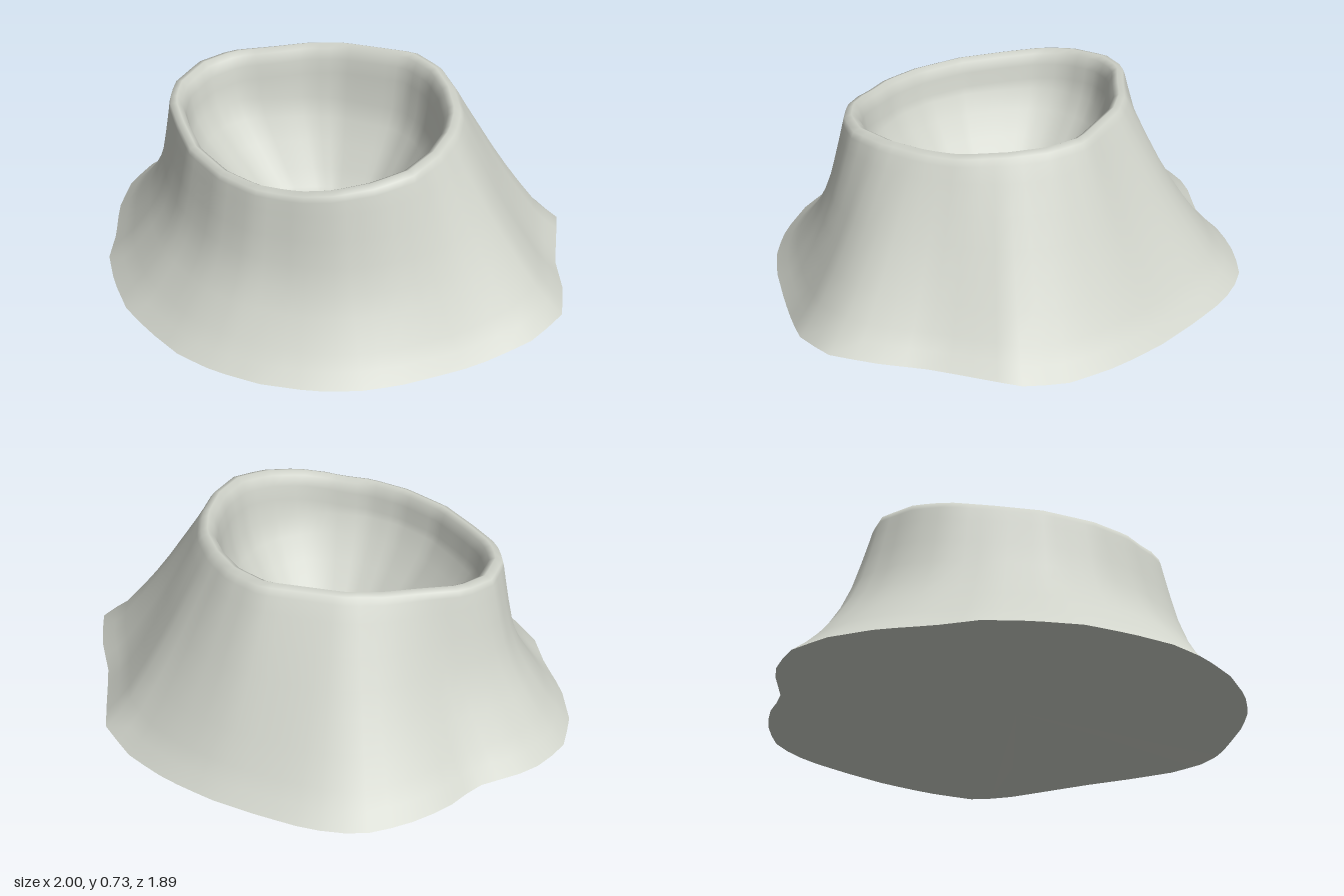
import * as THREE from 'three';

const SEG = 72;
const CENTRE = [-0.07, 0.08];

// Irregular plan outlines as [x, z] pairs, running from +x toward +z
const BASE = [
  [1, 0.28], [0.91, 0.45], [0.65, 0.67], [0.5, 0.79], [0.36, 0.87], [0.2, 0.92], [0, 0.94],
  [-0.19, 0.92], [-0.35, 0.87], [-0.5, 0.78], [-0.65, 0.67], [-0.77, 0.52], [-0.86, 0.37],
  [-0.9, 0.21], [-0.97, 0.02], [-1, -0.18], [-0.97, -0.36], [-0.85, -0.51], [-0.64, -0.63],
  [-0.53, -0.77], [-0.38, -0.88], [-0.22, -0.95], [-0.03, -0.94], [0.17, -0.88], [0.36, -0.81],
  [0.55, -0.71], [0.71, -0.59], [0.84, -0.44], [0.9, -0.1], [0.97, 0.1],
];
const RIM = [
  [0.5, 0.29], [0.44, 0.44], [0.33, 0.54], [0.19, 0.605], [0.07, 0.62], [-0.13, 0.605],
  [-0.29, 0.54], [-0.46, 0.41], [-0.58, 0.25], [-0.67, 0.11], [-0.7, -0.02], [-0.66, -0.19],
  [-0.56, -0.3], [-0.4, -0.36], [-0.26, -0.42], [-0.11, -0.45], [0.21, -0.43], [0.34, -0.34],
  [0.43, -0.21], [0.5, -0.05], [0.52, 0.11],
];

// Distance from CENTRE to a plan outline in the direction of angle a
function reach(outline, a) {
  const dx = Math.cos(a), dz = Math.sin(a);
  let best = 0;
  outline.forEach((p, i) => {
    const q = outline[(i + 1) % outline.length];
    const px = p[0] - CENTRE[0], pz = p[1] - CENTRE[1];
    const ex = q[0] - p[0], ez = q[1] - p[1];
    const det = dx * ez - dz * ex;
    if (Math.abs(det) < 1e-9) return;
    const r = (px * ez - pz * ex) / det;
    const s = (px * dz - pz * dx) / det;
    if (s >= -1e-6 && s <= 1 + 1e-6 && r > best) best = r;
  });
  return best;
}

const baseHeight = (x) => Math.max(0, x - 0.74) * 0.25;
// Rim tilts up toward the back, with its front left corner lifted
const rimHeight = (x, z) =>
  0.685 + 0.05 * x - 0.08 * z + 0.15 * Math.max(0, x) * Math.max(0, z);

// Wall rows: height fraction, inward travel on the steep side and on the sloping side
const WALL = [
  [0, 0, 0], [0.07, 0.17, 0.12], [0.15, 0.33, 0.23], [0.3, 0.57, 0.39], [0.43, 0.73, 0.52],
  [0.57, 0.84, 0.65], [0.72, 0.91, 0.78], [0.87, 0.97, 0.91], [0.95, 1, 0.975], [0.985, 1.02, 1.015],
];
// Lip rows: scale of the rim outline, drop below the rim
const LIP = [[0.945, 0], [0.905, 0.015], [0.88, 0.06], [0.865, 0.12]];
// Bowl rows: scale of the rim outline, height; ends in a low mound
const BOWL = [[0.84, 0.48], [0.78, 0.4], [0.67, 0.31], [0.55, 0.22], [0.45, 0.155],
  [0.38, 0.13], [0.32, 0.135], [0.23, 0.155], [0.01, 0.16]];

function buildLoops() {
  const loops = [...WALL, ...LIP, ...BOWL].map(() => []);
  for (let i = 0; i < SEG; i++) {
    const a = (i / SEG) * Math.PI * 2;
    const c = Math.cos(a), s = Math.sin(a);
    const rb = reach(BASE, a), rr = reach(RIM, a);
    const at = (r) => [CENTRE[0] + c * r, CENTRE[1] + s * r];
    const yb = baseHeight(at(rb)[0]);
    const yr = rimHeight(...at(rr));
    const slope = THREE.MathUtils.smoothstep((c - s) * 0.7071, -0.75, 0.75);
    let j = 0;
    const put = (r, y, shift = 0) => {
      const [x, z] = at(r);
      loops[j++].push([x + 0.07 * shift, y, z - 0.06 * shift]);
    };
    for (const [f, steep, sloping] of WALL) {
      const t = THREE.MathUtils.lerp(steep, sloping, slope);
      put(THREE.MathUtils.lerp(rb, rr, t), THREE.MathUtils.lerp(yb, yr, f));
    }
    for (const [k, drop] of LIP) put(rr * k, yr - drop);
    // The bowl floor drifts toward the middle of the base
    for (const [k, y] of BOWL) put(rr * k, y, 1 - k / 0.84);
  }
  return loops;
}

// Smooth closed skin through consecutive loops
function skin(loops) {
  const index = [];
  for (let j = 0; j < loops.length - 1; j++) {
    for (let i = 0; i < SEG; i++) {
      const n = (i + 1) % SEG;
      const a = j * SEG + i, b = a + SEG, d = j * SEG + n, e = d + SEG;
      index.push(a, b, d, b, e, d);
    }
  }
  const g = new THREE.BufferGeometry();
  g.setAttribute('position', new THREE.Float32BufferAttribute(loops.flat(2), 3));
  g.setIndex(index);
  g.computeVertexNormals();
  return g;
}

export function createModel() {
  const stone = new THREE.MeshStandardMaterial({ color: 0xd0d3ca });
  stone.name = 'paleStone';
  const group = new THREE.Group();
  group.name = 'crater';
  const add = (name, geometry) => {
    const mesh = new THREE.Mesh(geometry, stone);
    mesh.name = name;
    group.add(mesh);
  };

  const loops = buildLoops();
  const first = loops[0];
  const last = loops[loops.length - 1];
  const point = (x, y, z) => first.map(() => [x, y, z]);

  // Outer slope, rounded lip and inner bowl as one smooth skin
  add('craterWall', skin(loops));

  // Floor plug closing the middle of the bowl
  add('bowlCentre', skin([last, point(0, 0.16, 0.02)]));

  // Underside
  add('underside', skin([point(CENTRE[0], 0, CENTRE[1]), first]));
  return group;
}
